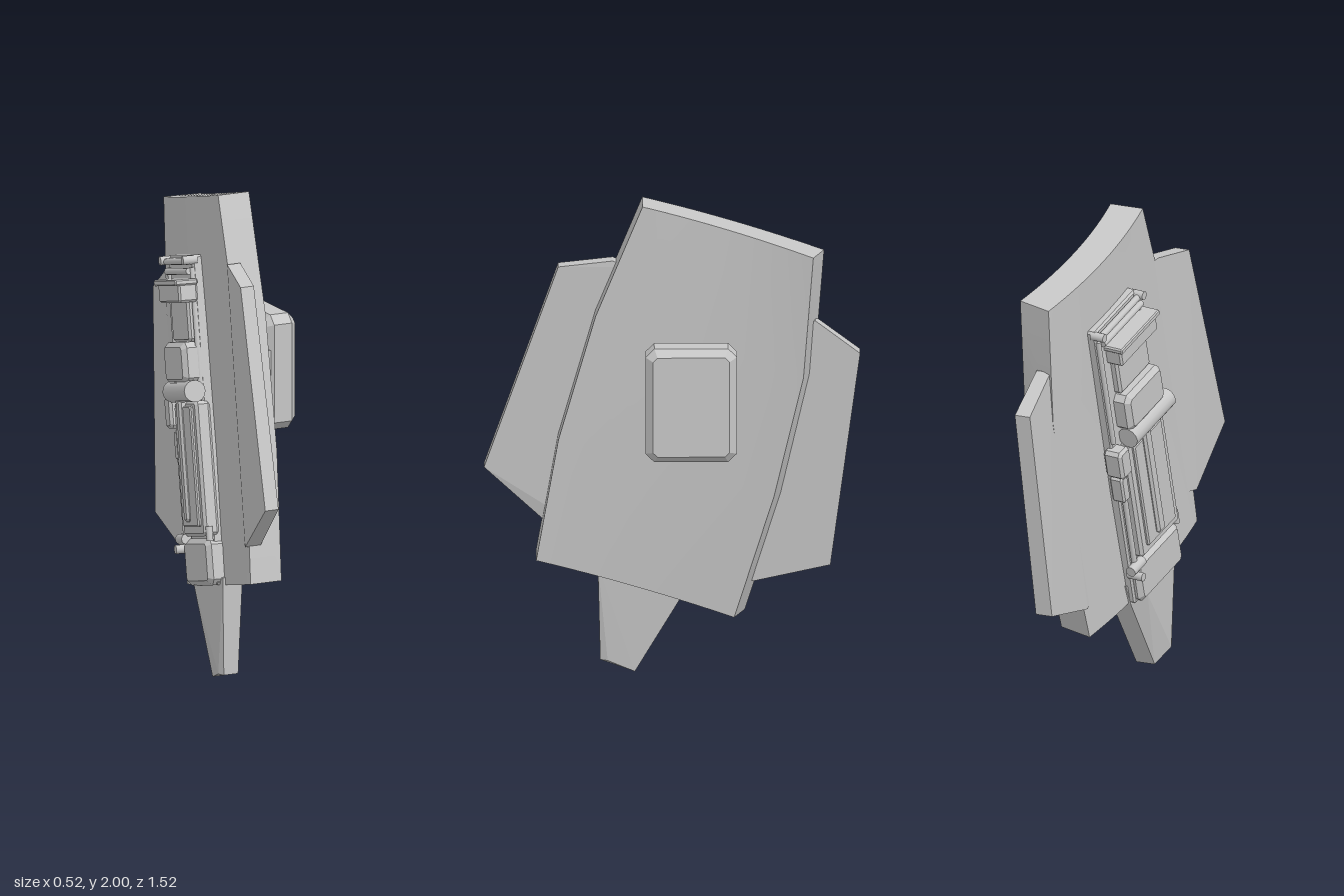
import * as THREE from 'three';
import { toCreasedNormals } from 'three/addons/utils/BufferGeometryUtils.js';
import { ConvexGeometry } from 'three/addons/geometries/ConvexGeometry.js';

const V = (x, y, z) => new THREE.Vector3(x, y, z);

// Box with cut corners and bevelled rims; depth runs along z, centred
function chamferBox(w, h, d, c) {
  const x = w / 2 - c, y = h / 2 - c, k = c * 0.6;
  const s = new THREE.Shape([[x - k, -y], [x, -y + k], [x, y - k], [x - k, y], [-x + k, y], [-x, y - k], [-x, -y + k], [-x + k, -y]]
    .map(([px, py]) => new THREE.Vector2(px, py)));
  const g = new THREE.ExtrudeGeometry(s, { depth: d - 2 * c, bevelThickness: c, bevelSize: c, bevelSegments: 1 });
  return g.translate(0, 0, -d / 2 + c);
}

// Curved, tapering main plate lofted from four rows of front and back edge points
function plateGeometry() {
  const front = [V(0.03, 2, 0.12), V(0.01, 1.53, 0.31), V(-0.015, 1, 0.46), V(-0.04, 0.48, 0.55)];
  const back = [V(0.155, 1.82, -0.57), V(0.15, 1.31, -0.53), V(0.135, 0.8, -0.41), V(0.1, 0.28, -0.25)];
  const n = 14, pos = [];
  const rows = front.map((f, r) => {
    const outer = [], inner = [];
    for (let i = 0; i <= n; i++) {
      const u = i / n, p = f.clone().lerp(back[r], u);
      p.x -= 0.035 * 4 * u * (1 - u);
      outer.push(p);
      inner.push(p.clone().add(V(-0.14, -0.008 * u, -0.045 * u)));
    }
    return [...outer, ...inner.reverse()];
  });
  const quad = (a, b, c, d) => [a, b, c, a, c, d].forEach(p => pos.push(p.x, p.y, p.z));
  const m = rows[0].length;
  for (let r = 0; r < 3; r++)
    for (let i = 0; i < m; i++) {
      const j = (i + 1) % m;
      quad(rows[r][i], rows[r + 1][i], rows[r + 1][j], rows[r][j]);
    }
  for (let i = 0; i < n; i++) {
    const t = rows[0], b = rows[3];
    quad(t[i], t[i + 1], t[m - 2 - i], t[m - 1 - i]);
    quad(b[m - 1 - i], b[m - 2 - i], b[i + 1], b[i]);
  }
  const g = new THREE.BufferGeometry();
  g.setAttribute('position', new THREE.Float32BufferAttribute(pos, 3));
  return toCreasedNormals(g, 0.4);
}

// Solid slab: each corner is [outer x, inner x, y, z]
const slab = corners => new ConvexGeometry(corners.flatMap(([o, i, y, z]) => [V(o, y, z), V(i, y, z)]));

export function createModel() {
  const grey = new THREE.MeshStandardMaterial({ color: 0xc6c6c6 });
  grey.name = 'light grey';
  const model = new THREE.Group();
  model.name = 'shield';
  const add = (name, geo, parent = model, x = 0, y = 0, z = 0) => {
    const mesh = new THREE.Mesh(geo, grey);
    mesh.name = name;
    mesh.position.set(x, y, z);
    parent.add(mesh);
    return mesh;
  };

  add('mainPlate', plateGeometry());

  // Side wings and tail fin
  add('frontWing', slab([
    [-0.12, -0.18, 1.70, 0.46], [-0.16, -0.22, 0.84, 0.76], [-0.12, -0.19, 0.63, 0.52],
    [-0.07, -0.13, 1.74, 0.24], [-0.09, -0.15, 0.64, 0.42], [-0.05, -0.10, 1.72, 0.17]]));
  add('backWing', slab([
    [0.105, 0.04, 1.40, -0.76], [0.08, 0.02, 1.53, -0.58], [0.06, -0.01, 0.49, -0.64],
    [0.02, -0.045, 0.41, -0.33], [0.06, 0.02, 1.52, -0.5], [0.01, -0.04, 0.42, -0.29]]));
  add('tailFin', slab([
    [-0.09, -0.18, 0.45, 0.30], [-0.105, -0.17, 0.04, 0.29], [-0.09, -0.18, 0.04, 0.26],
    [-0.07, -0.15, 0.0, 0.15], [-0.035, -0.12, 0.33, -0.04], [-0.03, -0.11, 0.42, -0.07],
    [-0.055, -0.17, 0.36, 0.02]]));

  // Arm mount on the concave side
  const mount = new THREE.Group();
  mount.name = 'armMount';
  model.add(mount);
  add('mountPad', chamferBox(0.37, 0.48, 0.14, 0.03).rotateY(Math.PI / 2), mount, 0.19, 1.22, -0.075);
  add('mountBlock', chamferBox(0.12, 0.29, 0.25, 0.02), mount, 0.075, 1.215, -0.065);
  add('mountBackBlock', chamferBox(0.08, 0.2, 0.05, 0.01), mount, 0.1, 1.215, -0.21);
  add('mountHinge', new THREE.CylinderGeometry(0.1, 0.1, 0.32, 24).rotateX(Math.PI / 2), mount, 0.125, 1.22, -0.06);

  // Launcher on the convex side: local x across, y along, z out from the plate
  const rig = new THREE.Group();
  rig.name = 'launcher';
  const along = V(0.04, 0.97, -0.24).normalize();
  const across = along.clone().cross(V(-0.98, 0, -0.17)).normalize();
  const out = across.clone().cross(along);
  new THREE.Matrix4().makeBasis(across, along, out).setPosition(-0.115, 1.15, -0.04)
    .decompose(rig.position, rig.quaternion, rig.scale);
  model.add(rig);
  const block = (name, x0, x1, y0, y1, z0, z1, c = 0.008) =>
    add(name, chamferBox(x1 - x0, y1 - y0, z1 - z0, c), rig, (x0 + x1) / 2, (y0 + y1) / 2, (z0 + z1) / 2);
  const bar = (name, r, len, x, y, z, axis) => {
    const g = new THREE.CylinderGeometry(r, r, len, 14);
    if (axis === 'x') g.rotateZ(Math.PI / 2);
    if (axis === 'z') g.rotateX(Math.PI / 2);
    return add(name, g, rig, x, y, z);
  };

  block('basePanel', -0.2, 0.14, -0.79, 0.55, -0.05, 0.03);
  block('lowerEnd', -0.19, 0.15, -0.79, -0.6, -0.04, 0.06, 0.02);
  block('lowerCover', -0.15, 0.15, -0.59, -0.04, 0, 0.065, 0.012);
  block('lowerInset', -0.11, 0.11, -0.55, -0.06, 0.04, 0.078, 0.006);
  block('slideRail', -0.045, 0.01, -0.53, 0.12, 0.04, 0.092, 0.01);
  bar('crossBar', 0.045, 0.31, 0.02, 0, 0.07, 'x');
  block('breech', -0.14, 0.14, 0.03, 0.2, 0, 0.1, 0.02);
  block('upperCover', -0.12, 0.12, 0.2, 0.4, 0, 0.06, 0.01);
  block('sightBox', -0.14, 0.15, 0.36, 0.44, 0.02, 0.1);
  block('sightRim', -0.15, 0.16, 0.43, 0.455, 0.02, 0.115, 0.005);
  for (const y of [0.485, 0.525]) bar('topRod', 0.014, 0.31, -0.02, y, 0.045, 'x');
  for (const x of [-0.19, 0.13]) bar('topPin', 0.018, 0.06, x, 0.53, 0.04, 'z');

  // Edge rails, clamp and catches
  for (const x of [-0.185, 0.13]) bar('edgeRail', 0.012, 0.5, x, 0.25, 0.03, 'y');
  block('sideClamp', -0.23, -0.15, -0.15, -0.02, 0, 0.085, 0.012);
  block('sideLatch', -0.21, -0.16, -0.28, -0.16, 0, 0.06);
  bar('sideRod', 0.012, 0.34, -0.185, -0.42, 0.045, 'y');
  bar('lowerCatch', 0.022, 0.09, -0.19, -0.6, 0.055, 'x');
  bar('lowerKnob', 0.018, 0.07, -0.2, -0.64, 0.055, 'z');
  bar('rightCatch', 0.014, 0.06, 0.15, -0.58, 0.045, 'y');

  return model;
}
